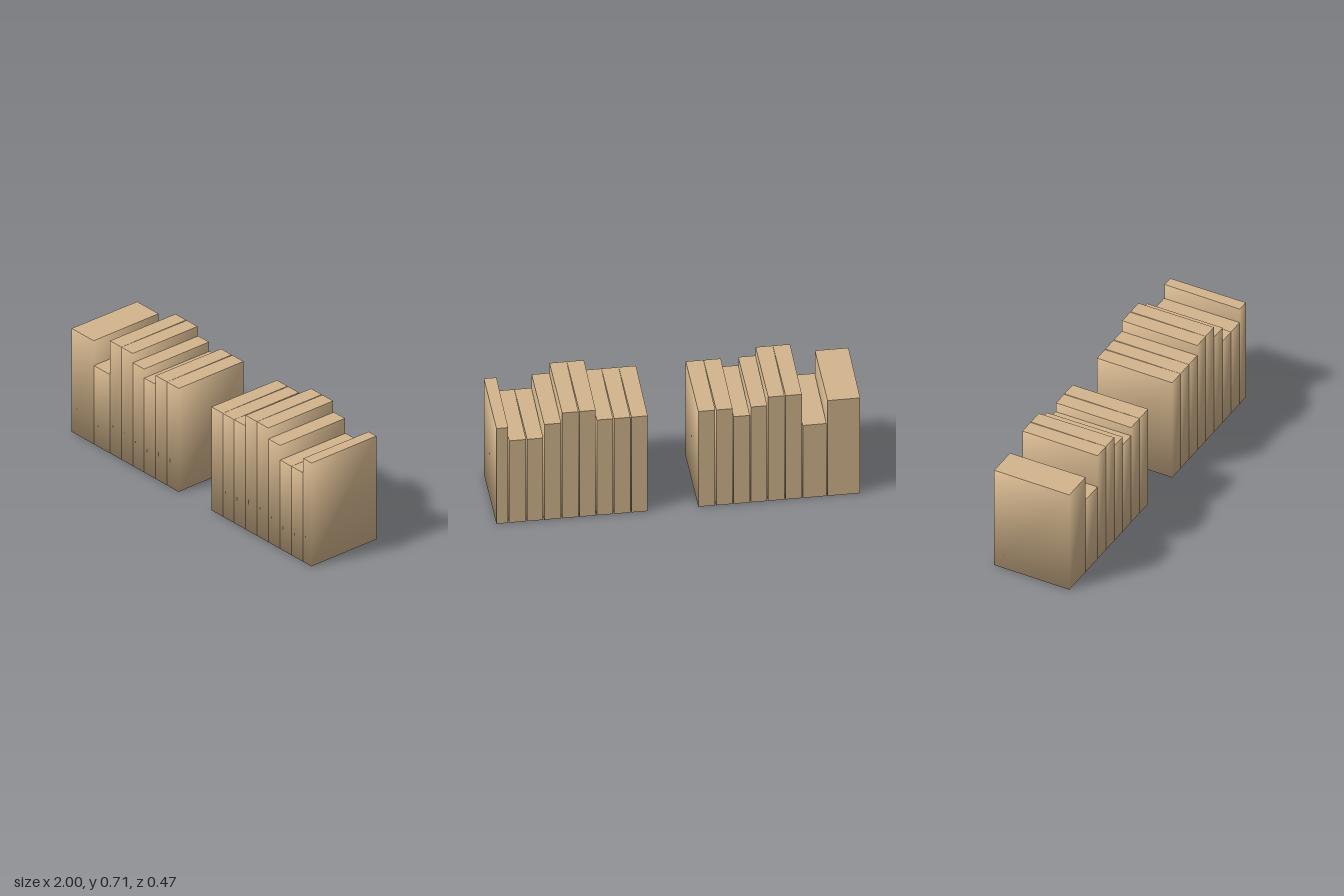
import * as THREE from 'three';

const DEPTH = 0.466;
const material = new THREE.MeshStandardMaterial({ color: 0xd2b48c });

// One book: a block, marginally narrower at the back, with softened spine and covers
function makeBook(x0, x1, height) {
  const width = x1 - x0;
  const geometry = new THREE.BoxGeometry(width, height, DEPTH);
  const position = geometry.attributes.position;
  const normal = geometry.attributes.normal;
  for (let i = 0; i < position.count; i++) {
    const sx = Math.sign(position.getX(i));
    const sy = Math.sign(position.getY(i));
    const sz = Math.sign(position.getZ(i));
    const isCover = Math.abs(normal.getX(i)) > 0.5;
    const isSpine = normal.getZ(i) > 0.5;
    // spine and covers share blended corner normals; top, bottom and back stay flat
    if (isCover || isSpine) {
      const n = new THREE.Vector3(sx, sy, sz).normalize();
      normal.setXYZ(i, n.x, n.y, n.z);
    }
    const inset = sz < 0 ? 0.003 : 0.0005;
    position.setX(i, sx * (width / 2 - inset));
  }
  const book = new THREE.Mesh(geometry, material);
  book.position.set((x0 + x1) / 2, height / 2, 0);
  return book;
}

// A row of books: the x of each boundary and the height of each book between them
function makeRow(name, edges, heights) {
  const row = new THREE.Group();
  row.name = name;
  heights.forEach((height, i) => {
    const book = makeBook(edges[i], edges[i + 1], height);
    book.name = `${name}Book${i + 1}`;
    row.add(book);
  });
  return row;
}

export function createModel() {
  const model = new THREE.Group();
  model.name = 'bookRows';
  model.add(
    makeRow('rightRow',
      [-1, -0.815, -0.68, -0.585, -0.49, -0.395, -0.3, -0.205, -0.107],
      [0.64, 0.487, 0.697, 0.697, 0.64, 0.585, 0.64, 0.64]),
    makeRow('leftRow',
      [0.165, 0.26, 0.355, 0.45, 0.545, 0.64, 0.738, 0.832, 0.93, 1],
      [0.64, 0.64, 0.64, 0.707, 0.707, 0.64, 0.55, 0.55, 0.64])
  );
  return model;
}
